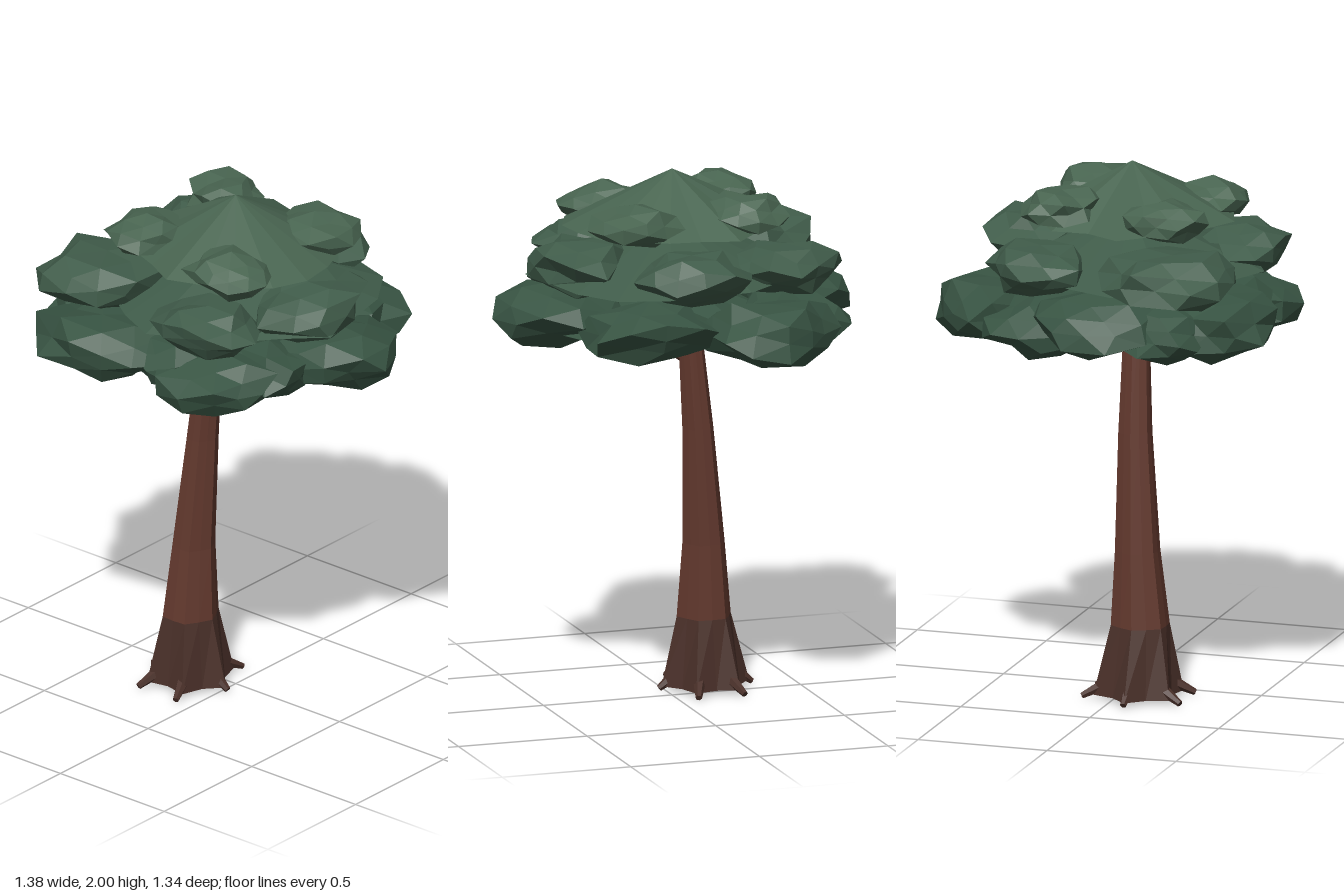
import * as THREE from 'three';

const mat = (color) => new THREE.MeshStandardMaterial({ color, flatShading: true });
const BARK = mat(0x63392e), DARK_BARK = mat(0x4a3029);

// Repeatable value in 0..1 from a position, so coincident corners move together
function hash(x, y, z, seed) {
  const r = (v) => Math.round(v * 100);
  const s = Math.sin(r(x) * 12.99 + r(y) * 78.23 + r(z) * 37.72 + seed * 4.17) * 4375.85;
  return s - Math.floor(s);
}

function moveVertices(geometry, rule) {
  const p = geometry.attributes.position;
  const v = new THREE.Vector3();
  for (let i = 0; i < p.count; i++) {
    v.fromBufferAttribute(p, i);
    rule(v);
    p.setXYZ(i, v.x, v.y, v.z);
  }
  geometry.computeVertexNormals();
  return geometry;
}

function addMesh(parent, name, geometry, material) {
  const mesh = new THREE.Mesh(geometry, material);
  mesh.name = name;
  parent.add(mesh);
  return mesh;
}

// Six-ridged column through rings of [y, centre x, centre z, radius x, radius z, valley depth]
function column(rings) {
  const n = rings.length - 1;
  return moveVertices(new THREE.CylinderGeometry(1, 1, 1, 12, n), (v) => {
    const [y, cx, cz, rx, rz, valley] = rings[Math.round((v.y + 0.5) * n)];
    const k = Math.round(Math.atan2(v.x, v.z) / (Math.PI / 6)) % 2 ? 1 : valley;
    v.set(cx + v.x * rx * k, y, cz + v.z * rz * k);
  });
}

// Tapered limb between two points
function limb(parent, name, from, to, r0, r1, material) {
  const a = new THREE.Vector3(...from), b = new THREE.Vector3(...to);
  const d = b.clone().sub(a);
  const mesh = addMesh(parent, name, new THREE.CylinderGeometry(r1, r0, d.length(), 6), material);
  mesh.position.copy(a).add(b).multiplyScalar(0.5);
  mesh.quaternion.setFromUnitVectors(new THREE.Vector3(0, 1, 0), d.normalize());
}

// Flattened, irregular leaf clump
function clump(rx, ry, rz, seed) {
  return moveVertices(new THREE.IcosahedronGeometry(1, 1), (v) => {
    const k = 0.8 + 0.4 * hash(v.x, v.y, v.z, seed);
    v.set(v.x * rx * k, v.y * ry * k, v.z * rz * k);
  });
}

// Shallow cone with an uneven rim
function crown(radius, base, top, seed) {
  return moveVertices(new THREE.ConeGeometry(radius, top - base, 18), (v) => {
    const k = 0.88 + 0.24 * hash(v.x, 0, v.z, seed);
    v.set(v.x * k, v.y + (top + base) / 2, v.z * k);
  });
}

export function createModel() {
  const tree = new THREE.Group();
  tree.name = 'tree';

  // Leaning trunk with a flared, ridged foot
  const rings = [
    [0.02, -0.155, 0.075, 0.17, 0.17, 0.76],
    [0.28, -0.15, 0.08, 0.105, 0.112, 0.9],
    [0.56, -0.145, 0.068, 0.082, 0.086, 0.9],
    [1.0, -0.117, 0.05, 0.06, 0.065, 0.9],
    [1.42, -0.08, 0.043, 0.044, 0.049, 0.92],
  ];
  addMesh(tree, 'trunkFlare', column(rings.slice(0, 2)), DARK_BARK);
  addMesh(tree, 'trunk', column(rings.slice(1)), BARK);

  // Short roots around the foot
  const roots = new THREE.Group();
  roots.name = 'roots';
  tree.add(roots);
  for (let i = 0; i < 6; i++) {
    const a = (i * Math.PI) / 3, c = Math.cos(a), s = Math.sin(a);
    limb(roots, 'root', [-0.155 + 0.11 * c, 0.065, 0.075 + 0.11 * s],
      [-0.155 + 0.18 * c, 0.014, 0.075 + 0.22 * s], 0.026, 0.012, DARK_BARK);
  }

  // Branches reaching into the canopy
  limb(tree, 'leftBranch', [-0.085, 1.26, 0.055], [0.13, 1.4, 0.27], 0.027, 0.013, BARK);
  limb(tree, 'rightBranch', [-0.085, 1.33, 0.045], [-0.3, 1.395, -0.17], 0.022, 0.011, BARK);

  // Canopy tiers: a shallow cone ringed by clumps [x, y, z, radius x, y, z]
  const tiers = [
    { name: 'lowerFoliage', color: 0x385443, cone: [0.5, 1.44, 1.61], clumps: [
      [-0.23, 1.47, -0.47, 0.25, 0.12, 0.22], [0.2, 1.48, -0.35, 0.25, 0.11, 0.2],
      [0.44, 1.49, -0.02, 0.24, 0.11, 0.22], [0.22, 1.45, 0.36, 0.24, 0.11, 0.21],
      [-0.26, 1.49, 0.45, 0.28, 0.12, 0.22], [-0.46, 1.5, 0.03, 0.23, 0.11, 0.24],
      [-0.36, 1.45, -0.24, 0.22, 0.11, 0.2], [0.02, 1.48, 0.36, 0.19, 0.1, 0.15],
      [0.33, 1.47, 0.2, 0.18, 0.1, 0.16], [-0.44, 1.47, 0.28, 0.18, 0.1, 0.18]] },
    { name: 'middleFoliage', color: 0x405c4a, cone: [0.5, 1.62, 1.82], clumps: [
      [0.06, 1.68, -0.4, 0.2, 0.1, 0.17], [-0.38, 1.67, 0.28, 0.24, 0.1, 0.25],
      [0.35, 1.67, 0, 0.19, 0.1, 0.25], [0.19, 1.66, 0.38, 0.21, 0.09, 0.17],
      [-0.35, 1.66, -0.24, 0.2, 0.09, 0.2]] },
    { name: 'upperFoliage', color: 0x486450, cone: [0.37, 1.8, 2], clumps: [
      [-0.22, 1.86, -0.2, 0.145, 0.075, 0.145], [0.21, 1.84, -0.2, 0.165, 0.08, 0.155],
      [-0.25, 1.85, 0.21, 0.135, 0.075, 0.15], [0.19, 1.83, 0.25, 0.17, 0.075, 0.15]] },
  ];
  tiers.forEach(({ name, color, cone, clumps }, t) => {
    const tier = new THREE.Group();
    tier.name = name;
    tree.add(tier);
    const leaves = mat(color);
    addMesh(tier, 'crown', crown(...cone, t + 1), leaves);
    clumps.forEach(([x, y, z, rx, ry, rz], i) => {
      addMesh(tier, 'leafClump', clump(rx, ry, rz, t * 10 + i), leaves).position.set(x, y, z);
    });
  });
  return tree;
}
